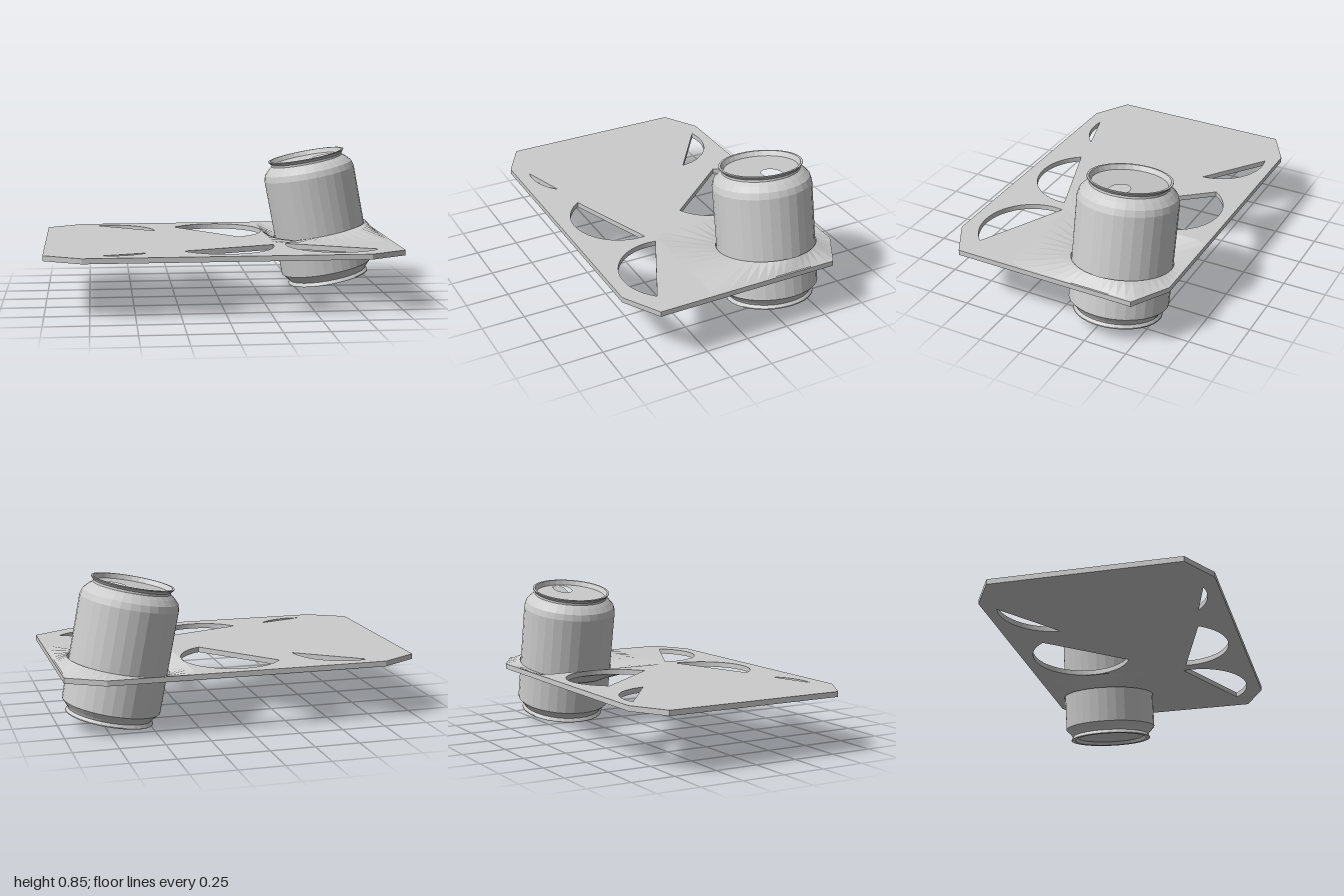
import * as THREE from 'three';

const grey = new THREE.MeshStandardMaterial({ color: 0xcccccc, flatShading: true });
const greyDouble = new THREE.MeshStandardMaterial({ color: 0xcccccc, flatShading: true, side: THREE.DoubleSide });
const rad = THREE.MathUtils.degToRad;

const TOP = 0.35, BOTTOM = 0.32;      // plate faces
const TILT = rad(11);                 // lean of the can
const CX = 0.66, CZ = -0.305;         // can hole centre on the plate

function named(geometry, material, name) {
  const mesh = new THREE.Mesh(geometry, material);
  mesh.name = name;
  return mesh;
}

// Outer border of the collar: distance from the hole centre to the nearest limiting edge
function borderPoint(a) {
  const edges = [[1, 0, 0.33], [-1, 0, 0.36], [0, 1, 0.52], [0, -1, 0.335], [0.496, -0.868, 0.36]];
  let r = Infinity;
  for (const [nx, nz, d] of edges) {
    const c = nx * Math.cos(a) + nz * Math.sin(a);
    if (c > 1e-4) r = Math.min(r, d / c);
  }
  return new THREE.Vector2(CX + r * Math.cos(a), CZ + r * Math.sin(a));
}

const STEPS = 48;
const angles = Array.from({ length: STEPS }, (_, i) => (i / STEPS) * Math.PI * 2);

// Flat plate with cut corners and circular-segment openings
function makePlate() {
  const shape = new THREE.Shape([
    [-1, -0.53], [-0.79, -0.65], [0.79, -0.65], [1, -0.53],
    [1, 0.53], [0.79, 0.65], [-0.79, 0.65], [-1, 0.53],
  ].map(([x, z]) => new THREE.Vector2(x, z)));

  // centre x, centre z, start and end angle of the arc; the chord closes it
  const openings = [
    [-0.635, -0.3, -104, -4],
    [0.01, -0.3, -145, 65],
    [-0.63, 0.29, 45, 102],
    [0.01, 0.29, -4, 146],
    [0.65, 0.29, 42, 190],
  ];
  for (const [x, z, a0, a1] of openings) {
    const hole = new THREE.Path();
    hole.absarc(x, z, 0.285, rad(a0), rad(a1), false);
    hole.closePath();
    shape.holes.push(hole);
  }
  shape.holes.push(new THREE.Path(angles.map(borderPoint)));

  const g = new THREE.ExtrudeGeometry(shape, { depth: TOP - BOTTOM, bevelEnabled: false, curveSegments: 16 });
  g.rotateX(Math.PI / 2);
  g.translate(0, TOP, 0);
  return named(g, grey, 'plate');
}

// Warped area joining the flat plate to the tilted can hole
function makeCollar() {
  const pos = [], index = [];
  for (const a of angles) {
    const o = borderPoint(a);
    const x = 0.283 * Math.cos(a), z = 0.279 * Math.sin(a);
    const lift = x * Math.tan(TILT);
    pos.push(o.x, TOP, o.y, CX + x, TOP + lift, CZ + z,
      CX + x, BOTTOM + lift, CZ + z, o.x, BOTTOM, o.y);
  }
  for (let i = 0; i < STEPS; i++) {
    const p = i * 4, q = ((i + 1) % STEPS) * 4;
    for (let k = 0; k < 3; k++) {
      index.push(p + k, p + k + 1, q + k, q + k, p + k + 1, q + k + 1);
    }
  }
  const g = new THREE.BufferGeometry();
  g.setAttribute('position', new THREE.Float32BufferAttribute(pos, 3));
  g.setIndex(index);
  g.computeVertexNormals();
  return named(g, greyDouble, 'holeCollar');
}

// Drink can: turned body, lid with opening, and pressed-in flap
function makeCan() {
  const can = new THREE.Group();
  can.name = 'can';

  const profile = [
    [0, 0.06], [0.12, 0.05], [0.212, 0.02], [0.222, 0], [0.247, 0], [0.247, 0.006],
    [0.236, 0.022], [0.247, 0.038], [0.277, 0.07], [0.277, 0.655], [0.267, 0.69], [0.24, 0.718],
    [0.218, 0.736], [0.217, 0.748], [0.232, 0.764], [0.232, 0.769], [0.22, 0.769], [0.207, 0.742],
  ].map(([r, y]) => new THREE.Vector2(r, y));
  can.add(named(new THREE.LatheGeometry(profile, 32), grey, 'canBody'));

  const lid = new THREE.Shape().absarc(0, 0, 0.209, 0, Math.PI * 2);
  const mouth = new THREE.Path().absellipse(0.12, 0, 0.08, 0.053, 0, Math.PI * 2);
  lid.holes.push(mouth);
  const lidGeo = new THREE.ShapeGeometry(lid, 16);
  lidGeo.rotateX(-Math.PI / 2);
  lidGeo.translate(0, 0.742, 0);
  can.add(named(lidGeo, greyDouble, 'canLid'));

  // flap is hinged at its outer end and sinks towards the middle
  const flapShape = new THREE.Shape().absellipse(-0.08, 0, 0.08, 0.053, 0, Math.PI * 2);
  const flapGeo = new THREE.ShapeGeometry(flapShape, 12);
  flapGeo.rotateX(-Math.PI / 2);
  const flap = named(flapGeo, greyDouble, 'canFlap');
  flap.position.set(0.2, 0.741, 0);
  flap.rotation.z = rad(25);
  can.add(flap);

  can.position.set(0.7175, 0.0525, CZ);
  can.rotation.z = TILT;
  return can;
}

export function createModel() {
  const model = new THREE.Group();
  model.name = 'canHolder';
  model.add(makePlate(), makeCollar(), makeCan());
  return model;
}
